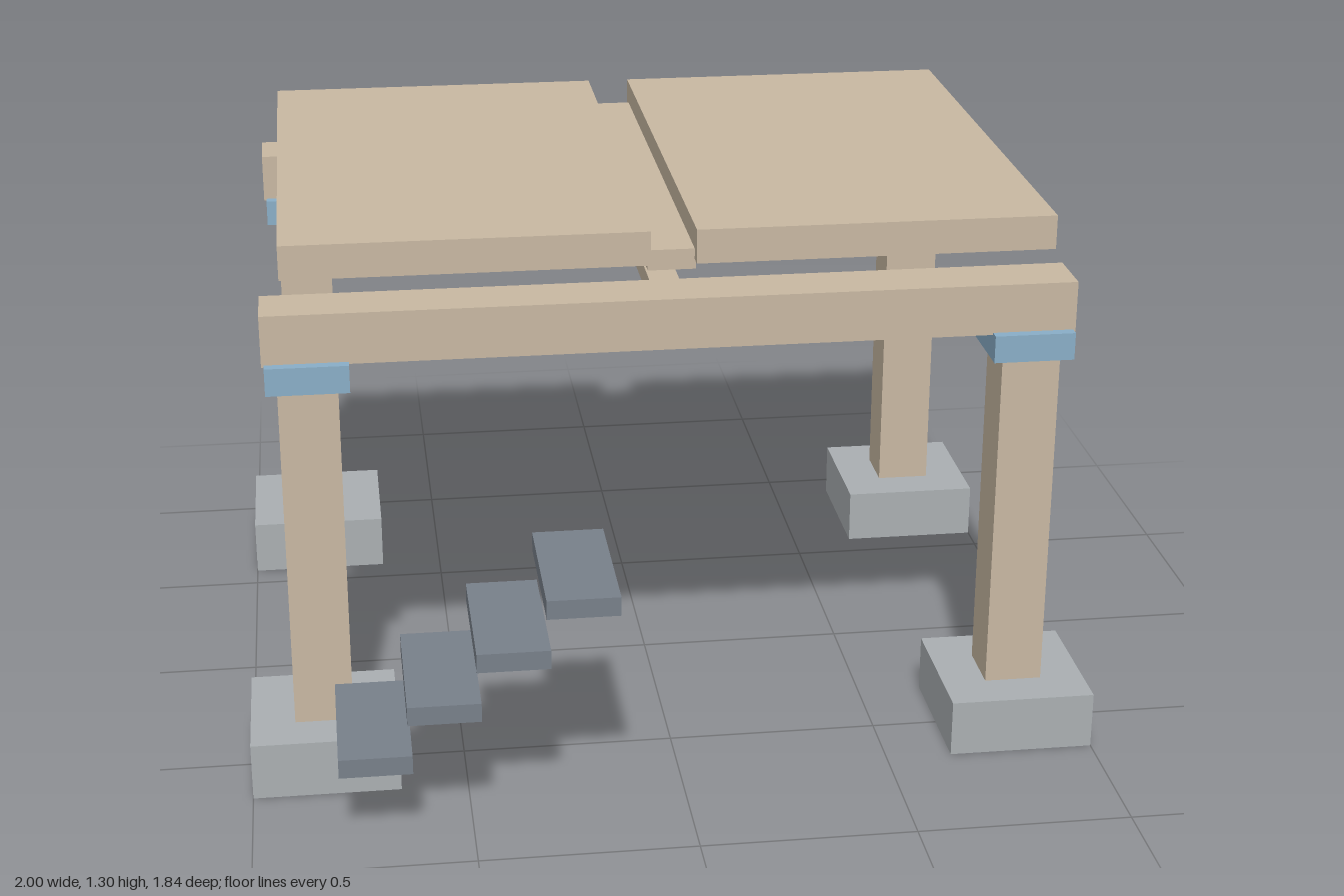
import * as THREE from 'three';

export function createModel() {
  const model = new THREE.Group();
  const mat = (name, color) => {
    const m = new THREE.MeshStandardMaterial({ color });
    m.name = name;
    return m;
  };
  const timber = mat('tan timber', 0xc9b9a3);
  const concrete = mat('grey concrete', 0xabb0b3);
  const bearing = mat('blue bearing', 0x8aafc8);
  const slate = mat('dark slate', 0x79818b);

  // Box given by its extents on each axis
  const box = (name, material, [x0, x1], [y0, y1], [z0, z1]) => {
    const mesh = new THREE.Mesh(new THREE.BoxGeometry(x1 - x0, y1 - y0, z1 - z0), material);
    mesh.position.set((x0 + x1) / 2, (y0 + y1) / 2, (z0 + z1) / 2);
    mesh.name = name;
    model.add(mesh);
  };
  const around = (c, half) => [c - half, c + half];

  for (const [end, z] of [['front', 0.49], ['back', -0.749]]) {
    // Footing, post and bearing pad at each corner
    for (const [side, s] of [['Left', 1], ['Right', -1]]) {
      const x = s * 0.828;
      box(`${end}${side}Footing`, concrete, around(x, 0.172), [0, 0.137], around(z, 0.172));
      box(`${end}${side}Post`, timber, around(x, 0.068), [0.137, 0.97], around(z, 0.068));
      box(`${end}${side}Bearing`, bearing, around(x, 0.094), [0.97, 1.035], around(z, 0.094));
    }
    // Cross beam over the posts
    box(`${end}Beam`, timber, [-0.928, 0.928], [1.03, 1.15], around(z, 0.069));
  }

  // Central joist, its support block and the strip under the slab joint
  box('centreJoist', timber, [-0.035, 0.035], [1.08, 1.13], [-0.68, 0.421]);
  box('centreBlock', bearing, [-0.035, 0.035], [1.13, 1.197], [-0.195, -0.06]);
  box('jointStrip', timber, [-0.055, 0.055], [1.197, 1.245], [-0.75, 0.492]);

  // Two deck slabs
  box('rightSlab', timber, [-0.88, -0.052], [1.22, 1.3], [-0.782, 0.525]);
  box('leftSlab', timber, [0.052, 0.88], [1.22, 1.3], [-0.782, 0.525]);

  // Floating steps rising towards the centre
  for (let i = 0; i < 4; i++) {
    const x = -0.8 + i * 0.156, y = 0.186 + i * 0.121;
    box(`step${i + 1}`, slate, [x, x + 0.165], [y, y + 0.045], [0.558, 0.921]);
  }
  return model;
}
